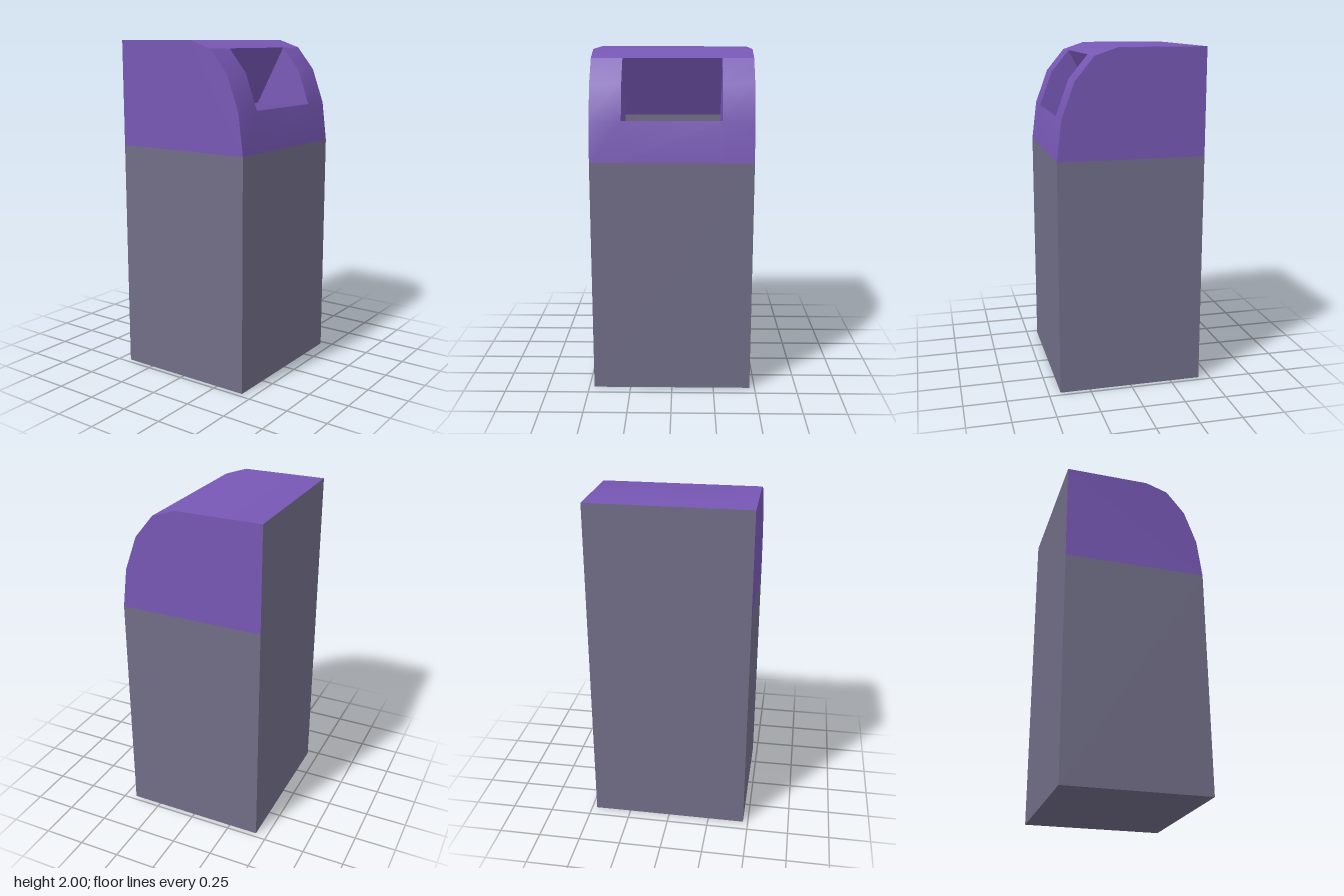
import * as THREE from 'three';
import { toCreasedNormals, mergeGeometries } from 'three/addons/utils/BufferGeometryUtils.js';

const W = 0.47, D = 0.43, SEAM = 1.38, HOLE = 0.288;

// Sheet swept along x over a [z, y] profile; skip(row, col) leaves openings.
function sheet(profile, xs, skip = () => false) {
  const pos = [];
  for (let r = 0; r < profile.length - 1; r++) {
    for (let c = 0; c < xs.length - 1; c++) {
      if (skip(r, c)) continue;
      const [z0, y0] = profile[r], [z1, y1] = profile[r + 1];
      const x0 = xs[c], x1 = xs[c + 1];
      pos.push(x0, y0, z0, x1, y0, z0, x1, y1, z1, x0, y0, z0, x1, y1, z1, x0, y1, z1);
    }
  }
  const g = new THREE.BufferGeometry();
  g.setAttribute('position', new THREE.Float32BufferAttribute(pos, 3));
  return toCreasedNormals(g, 0.5);
}

// Flat [z, y] panel at a given x, facing +x (dir 1) or -x (dir -1).
function panel(profile, x, dir) {
  const shape = new THREE.Shape(profile.map(([z, y]) => new THREE.Vector2(-dir * z, y)));
  const g = new THREE.ShapeGeometry(shape).toNonIndexed();
  g.deleteAttribute('uv');
  return g.rotateY(dir * Math.PI / 2).translate(x, 0, 0);
}

export function createModel() {
  const group = new THREE.Group();
  const grey = new THREE.MeshStandardMaterial({ color: 0x716e88, side: THREE.DoubleSide });
  grey.name = 'grey';
  const purple = new THREE.MeshStandardMaterial({ color: 0x7757b5, side: THREE.DoubleSide });
  purple.name = 'purple';
  const add = (name, material, ...parts) => {
    const mesh = new THREE.Mesh(mergeGeometries(parts), material);
    mesh.name = name;
    group.add(mesh);
  };

  // Hollow body: tall back, floor and front in one sheet, plus two sides
  const bodySide = [[-D, 0], [D, 0], [D, SEAM], [-D, SEAM]];
  add('body', grey,
    sheet([[-D, 2], [-D, 0], [D, 0], [D, SEAM]], [-W, W]),
    panel(bodySide, W, 1), panel(bodySide, -W, -1));

  // Curved hood with a rectangular opening in its middle two rows
  const curve = [[D, SEAM], [0.40, 1.615], [0.325, 1.82], [0.214, 1.955], [0.08, 2], [-D, 2]];
  add('hood', purple,
    sheet(curve, [-W, -HOLE, HOLE, W], (r, c) => c === 1 && (r === 1 || r === 2)));
  const hoodSide = [...curve, [-D, SEAM]];
  add('hoodSides', purple, panel(hoodSide, W, 1), panel(hoodSide, -W, -1));

  // Chute leading from the opening down into the body
  const roofEnd = [0.03, 1.607], floorEnd = [0.22, 1.40];
  const cheek = [curve[1], curve[2], curve[3], roofEnd, floorEnd];
  add('chute', purple,
    sheet([roofEnd, curve[3]], [-HOLE, HOLE]),
    sheet([curve[1], floorEnd], [-HOLE, HOLE]),
    panel(cheek, -HOLE, 1), panel(cheek, HOLE, -1));

  return group;
}
